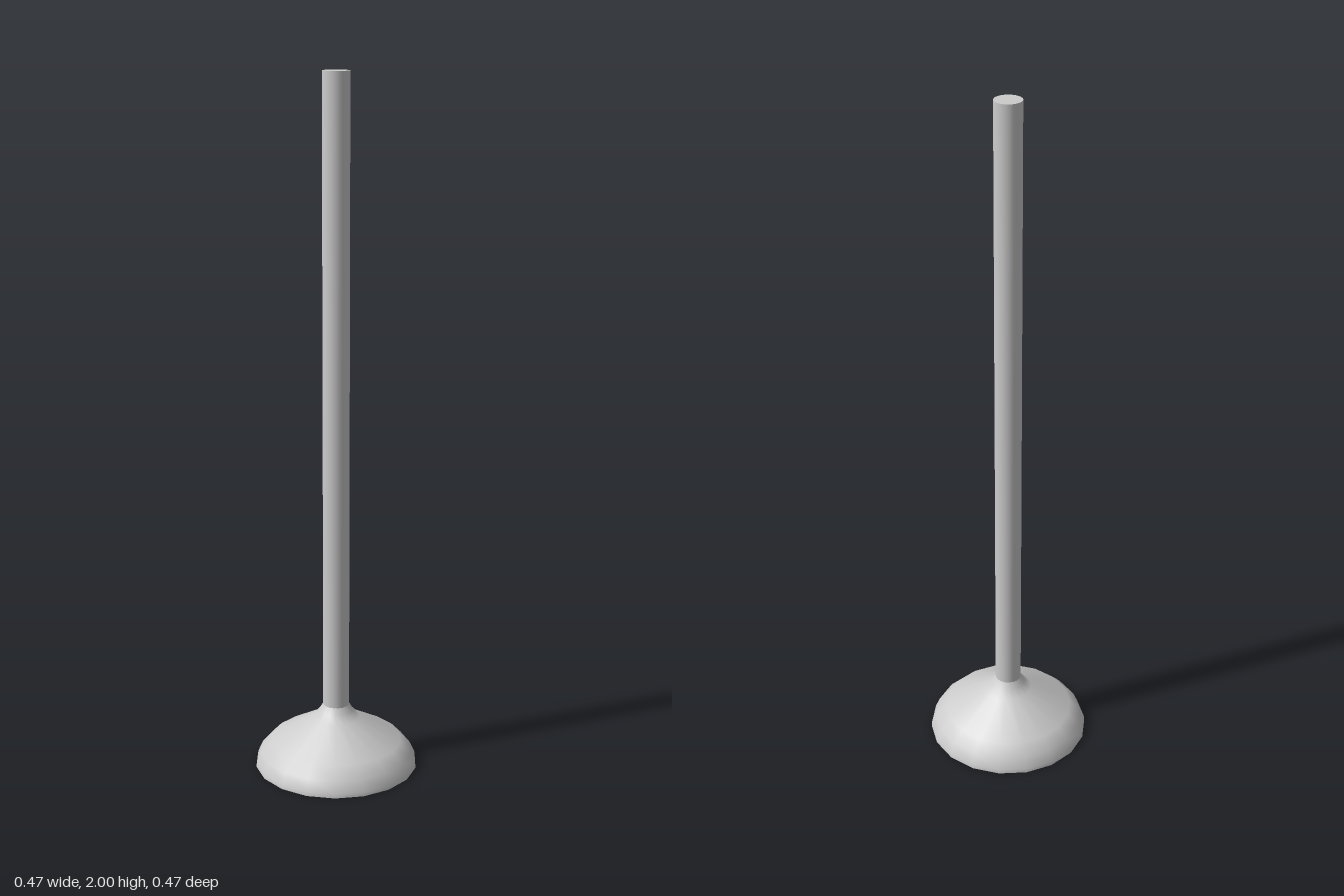
import * as THREE from 'three';

const SIDES = 18;

function part(name, geometry) {
  const material = new THREE.MeshStandardMaterial({ color: 0xcccccc, side: THREE.DoubleSide });
  const mesh = new THREE.Mesh(geometry, material);
  mesh.name = name;
  return mesh;
}

// Surface of revolution with a corner on the x axis
function turned(profile) {
  const points = profile.map(([r, y]) => new THREE.Vector2(r, y));
  return new THREE.LatheGeometry(points, SIDES, Math.PI / 2);
}

export function createModel() {
  const model = new THREE.Group();
  model.name = 'plunger';

  // Hollow rubber cup: outer skin, flat rim and inner skin
  const cup = new THREE.Group();
  cup.name = 'cup';
  cup.add(
    part('cupOuter', turned([
      [0.237, 0], [0.236, 0.012], [0.222, 0.044], [0.19, 0.077],
      [0.07, 0.145], [0.049, 0.167], [0.037, 0.188],
    ])),
    part('cupRim', turned([[0.225, 0], [0.237, 0]])),
    part('cupInner', turned([
      [0, 0.132], [0.066, 0.13], [0.182, 0.066], [0.212, 0.038], [0.225, 0],
    ])),
  );
  model.add(cup);

  // Long round handle, seated in the neck of the cup
  const bottom = 0.14, top = 2, radius = 0.038;
  const handle = part('handle', new THREE.CylinderGeometry(radius, radius, top - bottom, 32));
  handle.position.y = (top + bottom) / 2;
  model.add(handle);

  return model;
}
